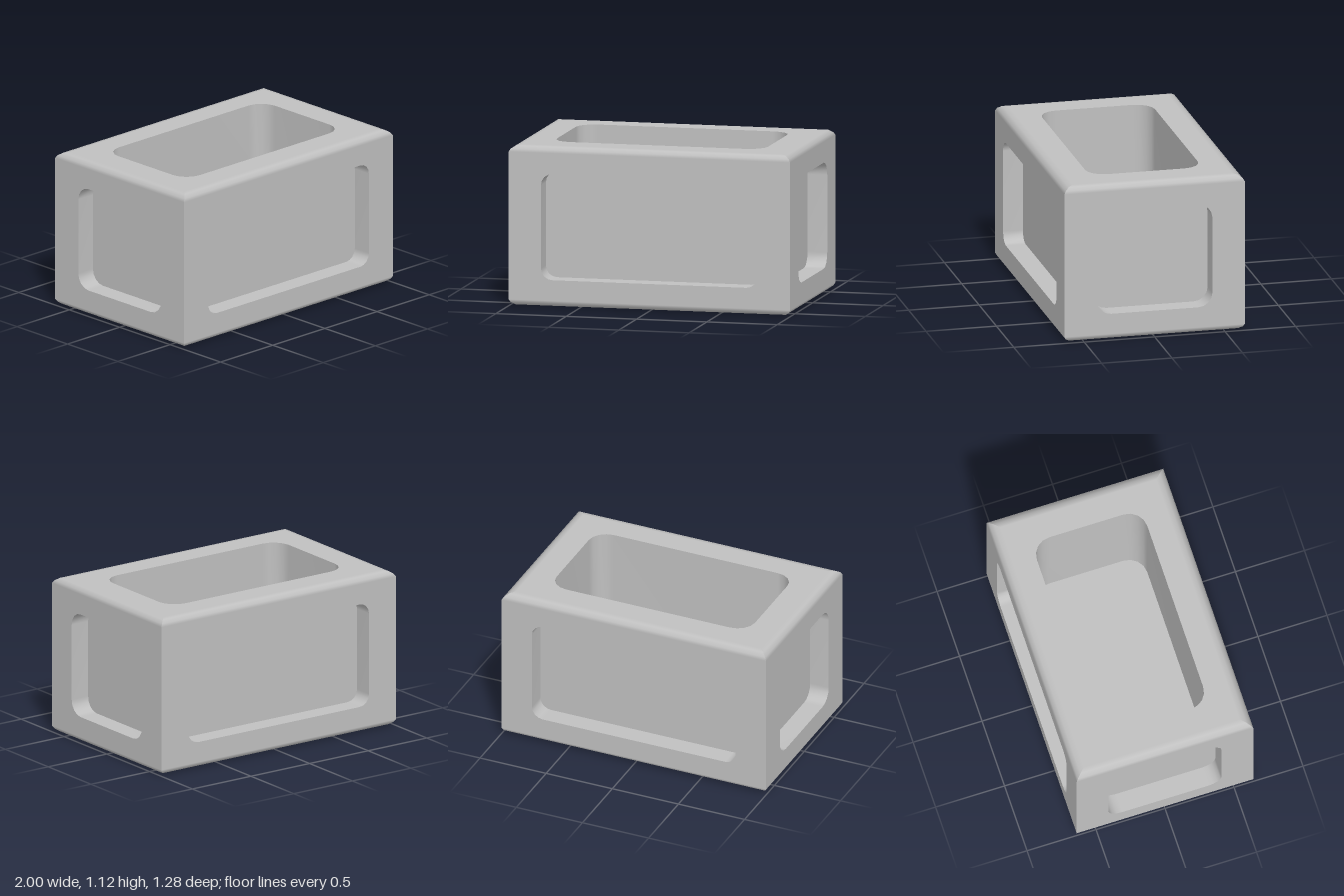
import * as THREE from 'three';

const W = 2, H = 1.12, D = 1.28;
// Softened rim profile: [inset from the side, drop from the top]
const RIM = [[0, 0.045], [0.012, 0.025], [0.04, 0.006], [0.075, 0]];
const RIM_IN = 0.075, RIM_DROP = 0.045;

// Corner points of a rounded rectangle, counter-clockwise
function roundedRect(w, h, r, segments = 4) {
  const points = [];
  for (let c = 0; c < 4; c++) {
    const cx = (c === 0 || c === 3 ? 1 : -1) * (w / 2 - r);
    const cy = (c < 2 ? 1 : -1) * (h / 2 - r);
    for (let i = 0; i <= segments; i++) {
      const a = (c + i / segments) * Math.PI / 2;
      points.push(new THREE.Vector2(cx + r * Math.cos(a), cy + r * Math.sin(a)));
    }
  }
  return points;
}

// Inward-facing wall of a recess, running from z = 0 back to z = -depth
function recessWall(points, depth) {
  const position = [], index = [], n = points.length;
  points.forEach(p => position.push(p.x, p.y, 0, p.x, p.y, -depth));
  for (let i = 0; i < n; i++) {
    const a = 2 * i, b = 2 * ((i + 1) % n);
    index.push(a, b, a + 1, b, b + 1, a + 1);
  }
  const g = new THREE.BufferGeometry();
  g.setAttribute('position', new THREE.Float32BufferAttribute(position, 3));
  g.setIndex(index);
  g.computeVertexNormals();
  return g;
}

// Rounded strip along the top of a panel, mitred at both ends
function rimStrip(w) {
  const position = [], normal = [], index = [];
  RIM.forEach(([inset, drop], i) => {
    const a = (i / (RIM.length - 1)) * Math.PI / 2;
    for (const s of [-1, 1]) {
      position.push(s * (w / 2 - inset), H / 2 - drop, -inset);
      normal.push(0, Math.sin(a), Math.cos(a));
    }
    if (i) {
      const k = 2 * (i - 1);
      index.push(k, k + 1, k + 2, k + 1, k + 3, k + 2);
    }
  });
  const g = new THREE.BufferGeometry();
  g.setAttribute('position', new THREE.Float32BufferAttribute(position, 3));
  g.setAttribute('normal', new THREE.Float32BufferAttribute(normal, 3));
  g.setIndex(index);
  return g;
}

export function createModel() {
  const model = new THREE.Group();
  model.name = 'recessedBox';
  const grey = new THREE.MeshStandardMaterial({ color: 0xc0c0c0 });
  grey.name = 'plain grey';

  const add = (parent, name, geometry) => {
    const mesh = new THREE.Mesh(geometry, grey);
    mesh.name = name;
    parent.add(mesh);
    return mesh;
  };

  // Flat panel facing +z with a rounded recess sunk into it
  function panel(name, w, h, hole, depth) {
    const group = new THREE.Group();
    group.name = name;
    const points = roundedRect(...hole);
    const frame = new THREE.Shape([[-1, -1], [1, -1], [1, 1], [-1, 1]]
      .map(([x, y]) => new THREE.Vector2(x * w / 2, y * h / 2)));
    frame.holes.push(new THREE.Path(points));
    add(group, name + 'Frame', new THREE.ShapeGeometry(frame));
    add(group, name + 'RecessWall', recessWall(points, depth));
    add(group, name + 'RecessFloor', new THREE.ShapeGeometry(new THREE.Shape(points)))
      .position.z = -depth;
    model.add(group);
    return group;
  }

  // Four sides, each with a window recess and rounded top and bottom rims
  const longHole = [1.54, 0.74, 0.08], shortHole = [0.82, 0.74, 0.1];
  ['front', 'left', 'back', 'right'].forEach((name, i) => {
    const long = i % 2 === 0;
    const w = long ? W : D, out = (long ? D : W) / 2;
    const side = panel(name + 'Side', w, H - 2 * RIM_DROP, long ? longHole : shortHole, 0.14);
    const angle = i * Math.PI / 2;
    side.rotation.y = angle;
    side.position.set(Math.sin(angle) * out, H / 2, Math.cos(angle) * out);
    add(side, name + 'TopRim', rimStrip(w));
    add(side, name + 'BottomRim', rimStrip(w)).rotation.z = Math.PI;
  });

  // Top with the deep central pocket
  const topW = W - 2 * RIM_IN, topD = D - 2 * RIM_IN;
  const top = panel('top', topW, topD, [1.5, 0.8, 0.13], 0.93);
  top.rotation.x = -Math.PI / 2;
  top.position.y = H;

  // Plain underside
  add(model, 'underside', new THREE.PlaneGeometry(topW, topD)).rotation.x = Math.PI / 2;
  return model;
}
